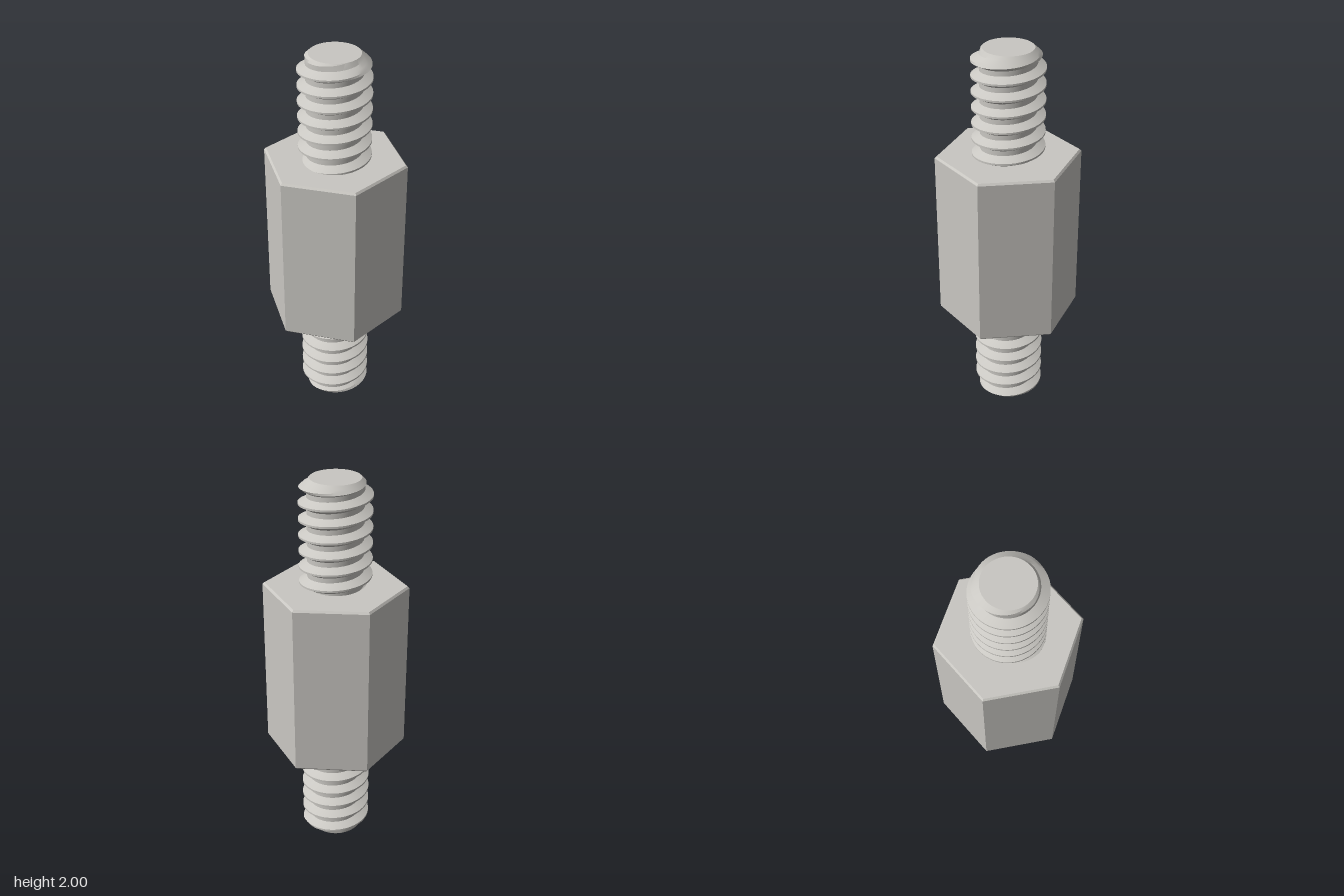
import * as THREE from 'three';
import { toCreasedNormals } from 'three/addons/utils/BufferGeometryUtils.js';

const PITCH = 0.081, CREST = 0.181, ROOT = 0.14, TIP = 0.125;
const BASE_Y = 0.42, TOP_Y = 1;   // stud extent measured from the body's centre
const CREST_Y = 0.937;            // height of a crest at the front (+z)

// Thread profile over one pitch: [fraction of pitch, radius]
const MID = (CREST + ROOT) / 2;
const PROFILE = [
  [-0.06, CREST], [0.06, CREST], [0.2, MID], [0.345, ROOT], [0.655, ROOT], [0.8, MID],
];

// Right-handed helical surface, trimmed by a conical chamfer at the tip
function threadGeometry(segments = 72) {
  const rows = [];
  for (let n = -9; n <= 2; n++) {
    for (const [f, r] of PROFILE) rows.push([CREST_Y + (n + f) * PITCH, r]);
  }
  const positions = [];
  const point = (i, j) => {
    const angle = (i / segments) * Math.PI * 2;
    const [rowY, r] = rows[j];
    const y = THREE.MathUtils.clamp(rowY + (i / segments) * PITCH, BASE_Y, TOP_Y);
    const radius = Math.min(r, TIP + (TOP_Y - y) * 1.1);
    return [Math.sin(angle) * radius, y, Math.cos(angle) * radius];
  };
  const triangle = (a, b, c) => {
    const low = Math.min(a[1], b[1], c[1]), high = Math.max(a[1], b[1], c[1]);
    if (high - low > 1e-6) positions.push(...a, ...b, ...c);
  };
  for (let j = 0; j < rows.length - 1; j++) {
    for (let i = 0; i < segments; i++) {
      const a = point(i, j), b = point(i + 1, j);
      const c = point(i + 1, j + 1), d = point(i, j + 1);
      triangle(a, b, c);
      triangle(a, c, d);
    }
  }
  const geometry = new THREE.BufferGeometry();
  geometry.setAttribute('position', new THREE.Float32BufferAttribute(positions, 3));
  return toCreasedNormals(geometry, 0.4);
}

// Hexagonal prism with small bevels on both ends
function hexGeometry() {
  const r = 0.365, h = 0.45, bevel = 0.01;
  const profile = [
    [0, -h], [r - bevel, -h], [r, -h + bevel], [r, h - bevel], [r - bevel, h], [0, h],
  ].map(([x, y]) => new THREE.Vector2(x, y));
  const geometry = new THREE.LatheGeometry(profile, 6, Math.PI / 2).toNonIndexed();
  geometry.computeVertexNormals();
  return geometry;
}

export function createModel() {
  const steel = new THREE.MeshStandardMaterial({ color: 0xc9c7c2 });
  steel.name = 'steel';
  const model = new THREE.Group();
  model.name = 'threadedStandoff';

  const body = new THREE.Mesh(hexGeometry(), steel);
  body.name = 'hexBody';
  body.position.y = 1.002;
  model.add(body);

  // Two identical studs, the lower one turned over
  const thread = threadGeometry();
  const cap = new THREE.CircleGeometry(TIP, 72).rotateX(-Math.PI / 2).translate(0, TOP_Y, 0);
  for (const [name, turn] of [['upperStud', 0], ['lowerStud', Math.PI]]) {
    const stud = new THREE.Group();
    stud.name = name;
    const threadMesh = new THREE.Mesh(thread, steel);
    threadMesh.name = name + 'Thread';
    const capMesh = new THREE.Mesh(cap, steel);
    capMesh.name = name + 'Tip';
    stud.add(threadMesh, capMesh);
    stud.position.y = 1;
    stud.rotation.x = turn;
    model.add(stud);
  }
  return model;
}
